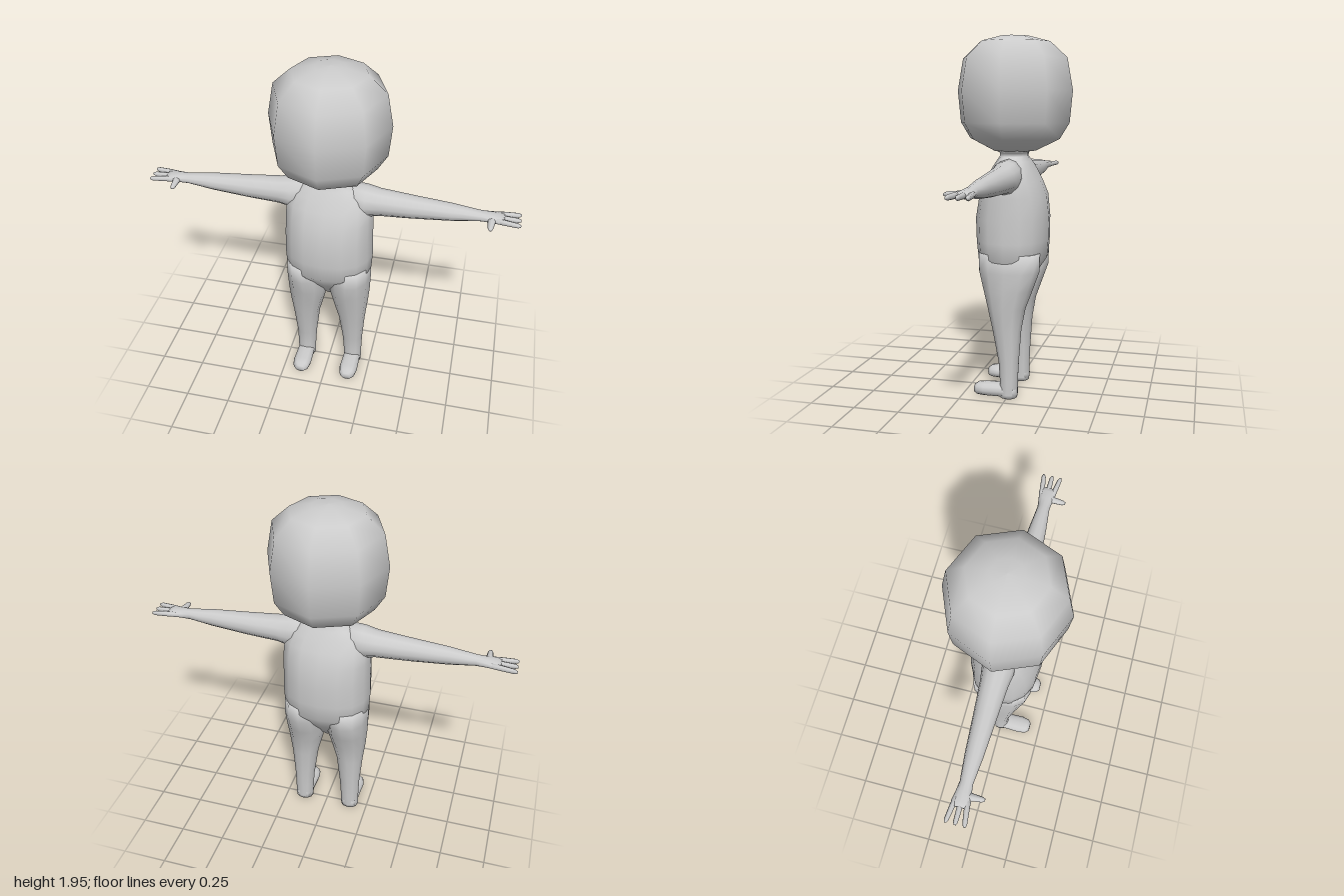
import * as THREE from 'three';

const material = new THREE.MeshStandardMaterial({ color: 0xcccccc });

// Closed loft along an axis. Each ring: [t, centreA, centreB, radiusA, radiusB].
// Cross-section axes (A, B): y -> (x, z), x -> (z, y), z -> (y, x).
function loft(axis, rings, sides = 12, power = 2) {
  const pos = [], index = [];
  const place = (t, a, b) => {
    if (axis === 'y') pos.push(a, t, b);
    else if (axis === 'x') pos.push(t, b, a);
    else pos.push(b, a, t);
  };
  const soft = v => Math.sign(v) * Math.pow(Math.abs(v), 2 / power);
  for (const [t, ca, cb, ra, rb] of rings) {
    for (let i = 0; i < sides; i++) {
      const ang = (i / sides) * Math.PI * 2;
      place(t, ca + ra * soft(Math.cos(ang)), cb + rb * soft(Math.sin(ang)));
    }
  }
  for (let r = 0; r < rings.length - 1; r++) {
    for (let i = 0; i < sides; i++) {
      const a = r * sides + i, b = r * sides + (i + 1) % sides;
      index.push(a, a + sides, b, b, a + sides, b + sides);
    }
  }
  // End caps
  const last = rings.length - 1, c0 = rings.length * sides, c1 = c0 + 1;
  place(...rings[0].slice(0, 3));
  place(...rings[last].slice(0, 3));
  for (let i = 0; i < sides; i++) {
    const j = (i + 1) % sides;
    index.push(c0, i, j, c1, last * sides + j, last * sides + i);
  }
  const geo = new THREE.BufferGeometry();
  geo.setAttribute('position', new THREE.Float32BufferAttribute(pos, 3));
  geo.setIndex(index);
  geo.computeVertexNormals();
  return geo;
}

// Flip a geometry to the other side of x = 0, keeping its faces outward.
function mirrored(geo) {
  const g = geo.clone();
  const p = g.attributes.position;
  for (let i = 0; i < p.count; i++) p.setX(i, -p.getX(i));
  g.setIndex(Array.from(g.index.array).reverse());
  g.computeVertexNormals();
  return g;
}

export function createModel() {
  const model = new THREE.Group();
  model.name = 'figure';
  const add = (name, geo) => {
    const mesh = new THREE.Mesh(geo, material);
    mesh.name = name;
    model.add(mesh);
  };
  const addPair = (name, geo) => {
    add('left' + name, geo);
    add('right' + name, mirrored(geo));
  };

  // Eight-sided rounded head
  const profile = [
    [0, 1.335], [0.12, 1.34], [0.25, 1.405], [0.302, 1.49], [0.318, 1.66],
    [0.287, 1.83], [0.195, 1.915], [0.08, 1.945], [0, 1.95],
  ].map(([r, y]) => new THREE.Vector2(r, y));
  add('head', new THREE.LatheGeometry(profile, 8));

  // Torso tapering into the neck
  add('torso', loft('y', [
    [0.535, 0, 0, 0.02, 0.02],
    [0.6, 0, 0, 0.09, 0.07],
    [0.67, 0, 0, 0.18, 0.125],
    [0.76, 0, 0.002, 0.24, 0.186],
    [0.86, 0, 0.003, 0.245, 0.194],
    [0.98, 0, 0.004, 0.242, 0.197],
    [1.1, 0, 0, 0.24, 0.18],
    [1.18, 0, 0, 0.235, 0.145],
    [1.24, 0, 0, 0.205, 0.115],
    [1.285, 0, 0, 0.15, 0.09],
    [1.31, 0, 0, 0.1, 0.075],
    [1.33, 0, 0, 0.1, 0.075],
    [1.36, 0, 0, 0.14, 0.13],
  ], 16, 2.3));

  // Legs
  addPair('Leg', loft('y', [
    [0, 0.143, -0.004, 0.051, 0.047],
    [0.02, 0.143, -0.004, 0.053, 0.05],
    [0.1, 0.142, -0.005, 0.055, 0.05],
    [0.2, 0.14, -0.004, 0.06, 0.056],
    [0.38, 0.136, 0.007, 0.078, 0.08],
    [0.5, 0.128, 0.01, 0.1, 0.105],
    [0.6, 0.121, 0.005, 0.115, 0.137],
    [0.7, 0.122, 0, 0.117, 0.168],
    [0.8, 0.122, 0, 0.115, 0.17],
  ], 12, 2.2));

  // Feet: flattened, rounded at the toe
  addPair('Foot', loft('z', [
    [-0.05, 0.033, 0.143, 0.025, 0.03],
    [-0.035, 0.036, 0.143, 0.036, 0.046],
    [0.04, 0.037, 0.143, 0.037, 0.051],
    [0.13, 0.035, 0.143, 0.035, 0.054],
    [0.17, 0.034, 0.143, 0.032, 0.045],
    [0.188, 0.031, 0.143, 0.022, 0.026],
  ], 12, 2.5));

  // Arms running from the shoulder into the palm
  addPair('Arm', loft('x', [
    [0.08, 0, 1.22, 0.08, 0.085],
    [0.2, 0, 1.204, 0.085, 0.09],
    [0.27, 0, 1.204, 0.074, 0.074],
    [0.45, 0, 1.2, 0.061, 0.062],
    [0.65, 0, 1.2, 0.048, 0.046],
    [0.79, 0, 1.2, 0.034, 0.028],
    [0.84, 0, 1.2, 0.04, 0.024],
    [0.89, 0, 1.2, 0.049, 0.019],
    [0.915, 0, 1.2, 0.044, 0.012],
  ], 12));

  // Three spread fingers and a forward thumb on each hand
  [-1, 0, 1].forEach((s, i) => {
    addPair('Finger' + (i + 1), loft('x', [
      [0.87, s * 0.03, 1.2, 0.014, 0.015],
      [0.92, s * 0.037, 1.2, 0.014, 0.015],
      [0.985, s * 0.046, 1.199, 0.012, 0.013],
      [1.0, s * 0.048, 1.198, 0.006, 0.007],
    ], 8));
  });
  addPair('Thumb', loft('z', [
    [0.01, 1.2, 0.855, 0.018, 0.03],
    [0.05, 1.198, 0.852, 0.015, 0.019],
    [0.095, 1.196, 0.85, 0.013, 0.014],
    [0.11, 1.195, 0.85, 0.007, 0.008],
  ], 8));

  return model;
}
